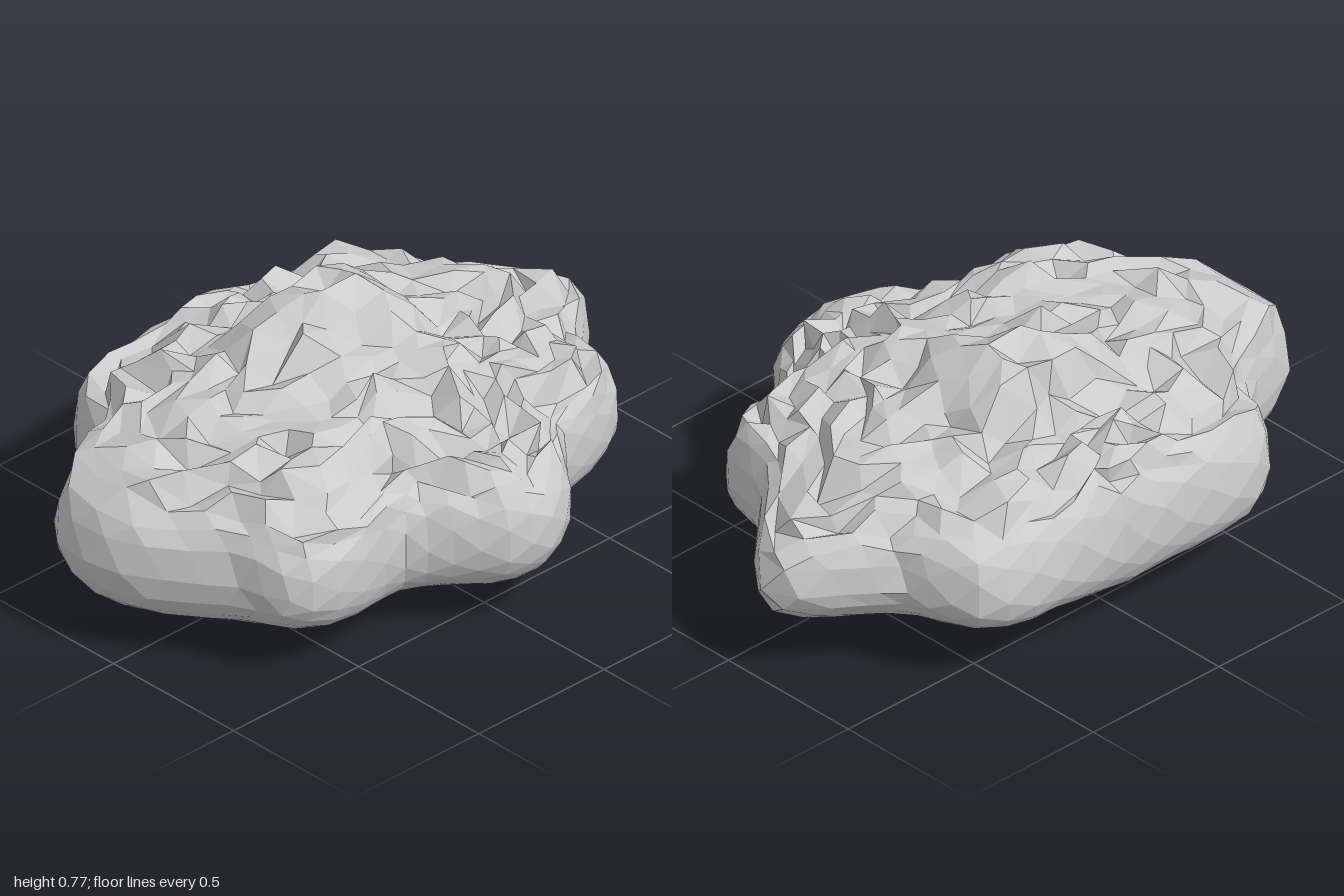
import * as THREE from 'three';
import { mergeVertices } from 'three/addons/utils/BufferGeometryUtils.js';

// Plan outline as [x, z] pairs, by increasing angle from the +x tip
const OUTLINE = [
  [1, -0.15], [0.955, -0.06], [0.83, 0.06], [0.71, 0.17], [0.69, 0.27], [0.67, 0.37], [0.57, 0.43],
  [0.37, 0.46], [0.28, 0.55], [0.2, 0.66], [0.07, 0.715], [-0.06, 0.695], [-0.17, 0.6], [-0.28, 0.5],
  [-0.36, 0.485], [-0.54, 0.51], [-0.66, 0.5], [-0.74, 0.43], [-0.78, 0.28], [-0.9, 0.12], [-0.97, 0.02],
  [-1, -0.12], [-1, -0.23], [-0.93, -0.33], [-0.8, -0.39], [-0.68, -0.43], [-0.61, -0.5], [-0.57, -0.63],
  [-0.46, -0.71], [-0.33, -0.72], [-0.1, -0.705], [0.1, -0.68], [0.3, -0.68], [0.49, -0.685], [0.6, -0.63],
  [0.66, -0.53], [0.7, -0.41], [0.81, -0.32], [0.94, -0.235],
];
// Ridge heights and underside heights along x and z
const TOP_X = [[-1, 0.57], [-0.8, 0.61], [-0.5, 0.64], [-0.3, 0.68], [-0.07, 0.77], [0.17, 0.79], [0.27, 0.66], [0.4, 0.63], [0.65, 0.6], [0.72, 0.54], [0.9, 0.53], [1, 0.5]];
const TOP_Z = [[-0.72, 0.58], [-0.58, 0.61], [-0.36, 0.64], [-0.3, 0.76], [-0.14, 0.79], [-0.05, 0.74], [0.05, 0.7], [0.2, 0.68], [0.32, 0.65], [0.4, 0.58], [0.6, 0.56], [0.71, 0.52]];
const LOW_X = [[-1, 0.07], [-0.8, 0.06], [-0.4, 0.03], [-0.15, 0.03], [0.03, 0], [0.17, 0.02], [0.27, 0.04], [0.5, 0.06], [0.7, 0.1], [1, 0.15]];
const LOW_Z = [[-0.72, 0.07], [-0.5, 0.06], [-0.3, 0.04], [-0.14, 0], [0.1, 0.02], [0.25, 0.03], [0.4, 0.06], [0.71, 0.11]];
const RIM = 0.3;

function sample(table, v) {
  if (v <= table[0][0]) return table[0][1];
  for (let i = 1; i < table.length; i++) {
    const [a, ya] = table[i - 1], [b, yb] = table[i];
    if (v <= b) return ya + (yb - ya) * (v - a) / (b - a);
  }
  return table[table.length - 1][1];
}

// Outline radius as a function of angle, wrapped at both ends
const polar = OUTLINE.map(([x, z]) => [Math.atan2(z, x), Math.hypot(x, z)]).sort((a, b) => a[0] - b[0]);
const first = polar[0], last = polar[polar.length - 1];
const RADIUS = [[last[0] - 2 * Math.PI, last[1]], ...polar, [first[0] + 2 * Math.PI, first[1]]];

// Seeded random value in 0..1
function hash(i, j) {
  const h = Math.sin(i * 127.1 + j * 311.7 + 7.3) * 43758.5453;
  return h - Math.floor(h);
}

// Moves corner number i of the unit sphere onto the rock
function shape(p, i) {
  const angle = Math.atan2(p.z, p.x);
  const t = Math.acos(Math.min(1, Math.abs(p.y))) / (Math.PI / 2);
  const s = 1 - Math.pow(1 - t, 1.5);
  const r = sample(RADIUS, angle) * s;
  let x = r * Math.cos(angle), z = r * Math.sin(angle), y;
  if (p.y > 0) {
    // craggy top above a steep wall
    const round = Math.sqrt(1 - Math.pow(s, 10));
    const hx = sample(TOP_X, x), hz = sample(TOP_Z, z);
    const top = 0.75 * Math.min(hx, hz) + 0.25 * hx * hz / 0.79;
    const rough = Math.min(1, (1 - s) * 8);
    y = RIM + (top - RIM) * round - rough * (hash(i, 1) * 0.085 - 0.008);
    x += (hash(i, 2) - 0.5) * 0.05 * rough;
    z += (hash(i, 3) - 0.5) * 0.05 * rough;
  } else {
    // smooth rounded underside
    const round = Math.sqrt(1 - Math.pow(s, 8));
    y = RIM + (sample(LOW_X, x) + sample(LOW_Z, z) - RIM) * round;
  }
  p.set(x, y, z);
}

export function createModel() {
  // shared corners, so that neighbouring facets move together
  const sphere = new THREE.IcosahedronGeometry(1, 9);
  sphere.deleteAttribute('uv');
  sphere.deleteAttribute('normal');
  const welded = mergeVertices(sphere, 1e-4);
  const pos = welded.attributes.position, p = new THREE.Vector3();
  for (let i = 0; i < pos.count; i++) {
    p.fromBufferAttribute(pos, i).normalize();
    shape(p, i);
    pos.setXYZ(i, p.x, p.y, p.z);
  }
  const geometry = welded.toNonIndexed();
  geometry.computeVertexNormals();

  const rock = new THREE.Mesh(geometry, new THREE.MeshStandardMaterial({ color: 0xcccccc, flatShading: true }));
  rock.name = 'rock';
  const group = new THREE.Group();
  group.name = 'boulder';
  group.add(rock);
  return group;
}
